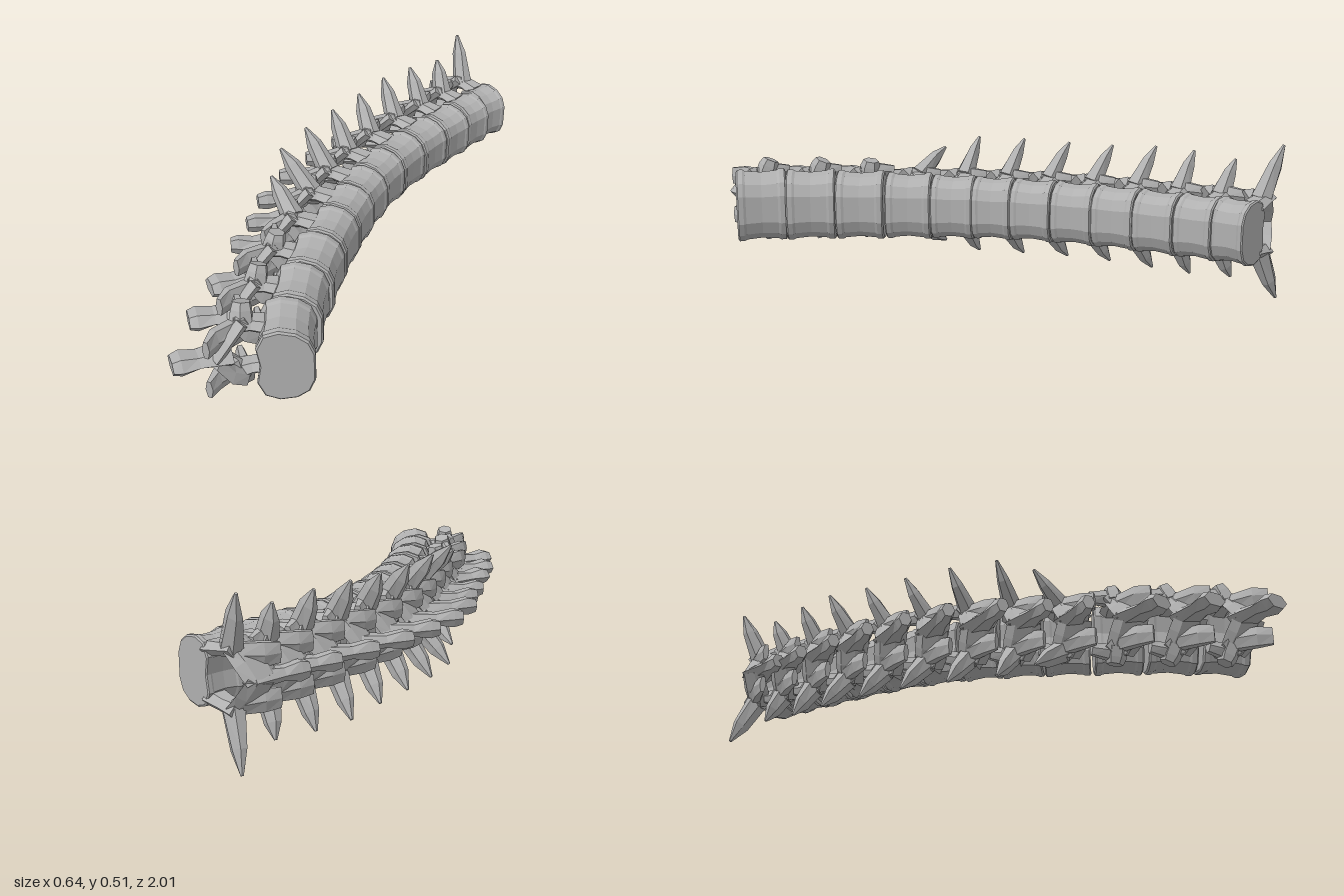
import * as THREE from 'three';

const bone = new THREE.MeshStandardMaterial({ color: 0xb0b0b0, flatShading: true });
bone.name = 'bone grey';

// Closed faceted skin through rings of equal point count, turned outward
function loft(name, rings) {
  const tris = [];
  const n = rings[0].length;
  for (let r = 0; r < rings.length - 1; r++) {
    for (let i = 0; i < n; i++) {
      const j = (i + 1) % n;
      const a = rings[r][i], b = rings[r][j], c = rings[r + 1][j], d = rings[r + 1][i];
      tris.push([a, b, c], [a, c, d]);
    }
  }
  const first = rings[0], last = rings[rings.length - 1];
  for (let i = 1; i < n - 1; i++) {
    tris.push([first[0], first[i + 1], first[i]], [last[0], last[i], last[i + 1]]);
  }
  let volume = 0;
  for (const [a, b, c] of tris) volume += a.dot(b.clone().cross(c));
  if (volume < 0) tris.forEach((t) => t.reverse());
  const geometry = new THREE.BufferGeometry().setFromPoints(tris.flat());
  geometry.computeVertexNormals();
  const mesh = new THREE.Mesh(geometry, bone);
  mesh.name = name;
  return mesh;
}

// Six-sided strut: stations are [x, y, z, half width, half height along ref]
function strut(name, stations, ref) {
  const pts = stations.map((s) => new THREE.Vector3(s[0], s[1], s[2]));
  const rings = pts.map((p, k) => {
    const dir = pts[Math.min(k + 1, pts.length - 1)].clone().sub(pts[Math.max(k - 1, 0)]).normalize();
    const up = ref.clone().addScaledVector(dir, -ref.dot(dir)).normalize();
    const side = dir.clone().cross(up);
    return Array.from({ length: 6 }, (_, i) => {
      const t = (i * Math.PI) / 3 + Math.PI / 6;
      return p.clone()
        .addScaledVector(side, Math.cos(t) * stations[k][3])
        .addScaledVector(up, Math.sin(t) * stations[k][4]);
    });
  });
  return loft(name, rings);
}

// Rounded body outline with a slightly hollow back
const half = [[1, 0.38], [0.8, 0.72], [0.38, 0.93], [-0.2, 1], [-0.7, 0.88], [-0.95, 0.5]];
const outline = [...half, [-0.83, 0], ...half.map(([x, y]) => [x, -y]).reverse()];

function body(hd, hy, hl) {
  const profile = [[-1, 0.95], [-0.94, 1], [-0.74, 1], [-0.64, 0.96], [0, 0.92],
    [0.64, 0.96], [0.74, 1], [0.94, 1], [1, 0.95]];
  return loft('vertebralBody', profile.map(([t, s]) =>
    outline.map(([x, y]) => new THREE.Vector3(x * hd * s, y * hy * s, t * hl))));
}

// centre x, z, tilt in degrees, half length, half height, rear tip x, z, side tip x, y, z
const column = [
  [0.147, -0.872, -24, 0.059, 0.105, -0.115, -0.78, -0.025, 0.255, -1.0],
  [0.12, -0.757, -17, 0.063, 0.105, -0.16, -0.665, -0.045, 0.2, -0.85],
  [0.09, -0.624, -14, 0.068, 0.105, -0.21, -0.515, -0.1, 0.213, -0.71],
  [0.056, -0.482, -10, 0.071, 0.106, -0.26, -0.365, -0.15, 0.215, -0.575],
  [0.032, -0.336, -6, 0.071, 0.107, -0.29, -0.215, -0.175, 0.208, -0.42],
  [0.022, -0.188, -2, 0.07, 0.108, -0.31, -0.055, -0.2, 0.208, -0.26],
  [0.027, -0.046, 3, 0.067, 0.11, -0.29, 0.125, -0.215, 0.212, -0.09],
  [0.044, 0.095, 8, 0.073, 0.113, -0.245, 0.265, -0.215, 0.213, 0.08],
  [0.07, 0.25, 12, 0.079, 0.117, -0.225, 0.395, -0.18, 0.175, 0.2],
  [0.102, 0.42, 16, 0.083, 0.122, -0.155, 0.62, -0.02, 0.14, 0.43],
  [0.148, 0.59, 22, 0.085, 0.125, -0.12, 0.785, 0.02, 0.14, 0.6],
  [0.206, 0.754, 28, 0.085, 0.127, -0.045, 0.975, 0.075, 0.142, 0.78],
];
const axisX = new THREE.Vector3(1, 0, 0);
const axisY = new THREE.Vector3(0, 1, 0);
const axisZ = new THREE.Vector3(0, 0, 1);

function vertebra([cx, cz, deg, hl, hy, sx, sz, tx, ty, tz], index) {
  const lower = index > 8;
  const angle = THREE.MathUtils.degToRad(deg);
  const toLocal = (x, y, z) => new THREE.Vector3(x - cx, y, z - cz).applyAxisAngle(axisY, -angle);
  const group = new THREE.Group();
  group.name = `vertebra${index + 1}`;
  group.position.set(cx, 0.255, cz);
  group.rotation.y = angle;
  const hd = lower ? 0.087 : 0.079;
  group.add(body(hd, hy, hl));

  // Rear spine, sloping back and toward the lower end
  const tip = toLocal(sx, 0, sz);
  const root = new THREE.Vector3(-0.165, 0, 0.015);
  const mid = root.clone().lerp(tip, 0.55);
  const neck = root.clone().lerp(tip, 0.85);
  group.add(strut('rearSpine', [
    [root.x, 0, root.z, 0.034, 0.06],
    [mid.x, 0, mid.z, 0.022, lower ? 0.045 : 0.034],
    [neck.x, 0, neck.z, 0.034, lower ? 0.05 : 0.028],
    [tip.x, 0, tip.z, 0.026, lower ? 0.042 : 0.022],
  ], axisZ));

  // Paired parts of the arch
  const end = toLocal(tx, ty, tz);
  const base = new THREE.Vector3(-0.13, 0.085, -0.015);
  const wide = base.clone().lerp(end, 0.62);
  const flare = lower ? 1.12 : 1;
  const reach = index === 0 ? 0.4 : flare;
  for (const s of [1, -1]) {
    group.add(strut('pedicle', [
      [-hd * 0.6, s * 0.072, -0.022, 0.025, 0.044],
      [-0.105, s * 0.08, -0.02, 0.022, 0.038],
      [-0.155, s * 0.088, -0.008, 0.028, 0.046],
    ], axisZ));
    group.add(strut('lamina', [
      [-0.13, s * 0.095, -0.005, 0.022, 0.05],
      [-0.165, s * 0.055, 0.02, 0.02, 0.062],
      [-0.2, 0, 0.035, 0.02, 0.055],
    ], axisZ));
    group.add(strut('upperFacet', [
      [-0.13, s * 0.09, 0.01, 0.028, 0.026],
      [-0.135, s * 0.09 * flare, -0.045 * reach, 0.03, 0.022],
      [-0.15, s * 0.085 * flare, -0.09 * reach, 0.024, 0.014],
    ], axisX));
    // Broad plate lapping over the next bone
    group.add(strut('lowerFacet', [
      [-0.15, s * 0.07, 0, 0.036, 0.026],
      [-0.18 * flare, s * 0.065 * flare, 0.055, 0.04, 0.022],
      [-0.195 * flare, s * 0.065 * flare, 0.1, 0.034, 0.012],
    ], axisX));

    // Side blades: long and pointed on the upper bones, short knobs on the lower
    group.add(strut('sideBlade', [
      [base.x, s * base.y, base.z, 0.04, 0.036],
      [wide.x, s * wide.y, wide.z, lower ? 0.034 : 0.032, lower ? 0.036 : 0.021],
      [end.x, s * end.y, end.z, lower ? 0.028 : 0.005, lower ? 0.028 : 0.005],
    ], axisZ));
  }
  return group;
}

export function createModel() {
  const model = new THREE.Group();
  model.name = 'spine';
  column.forEach((row, i) => model.add(vertebra(row, i)));
  return model;
}
